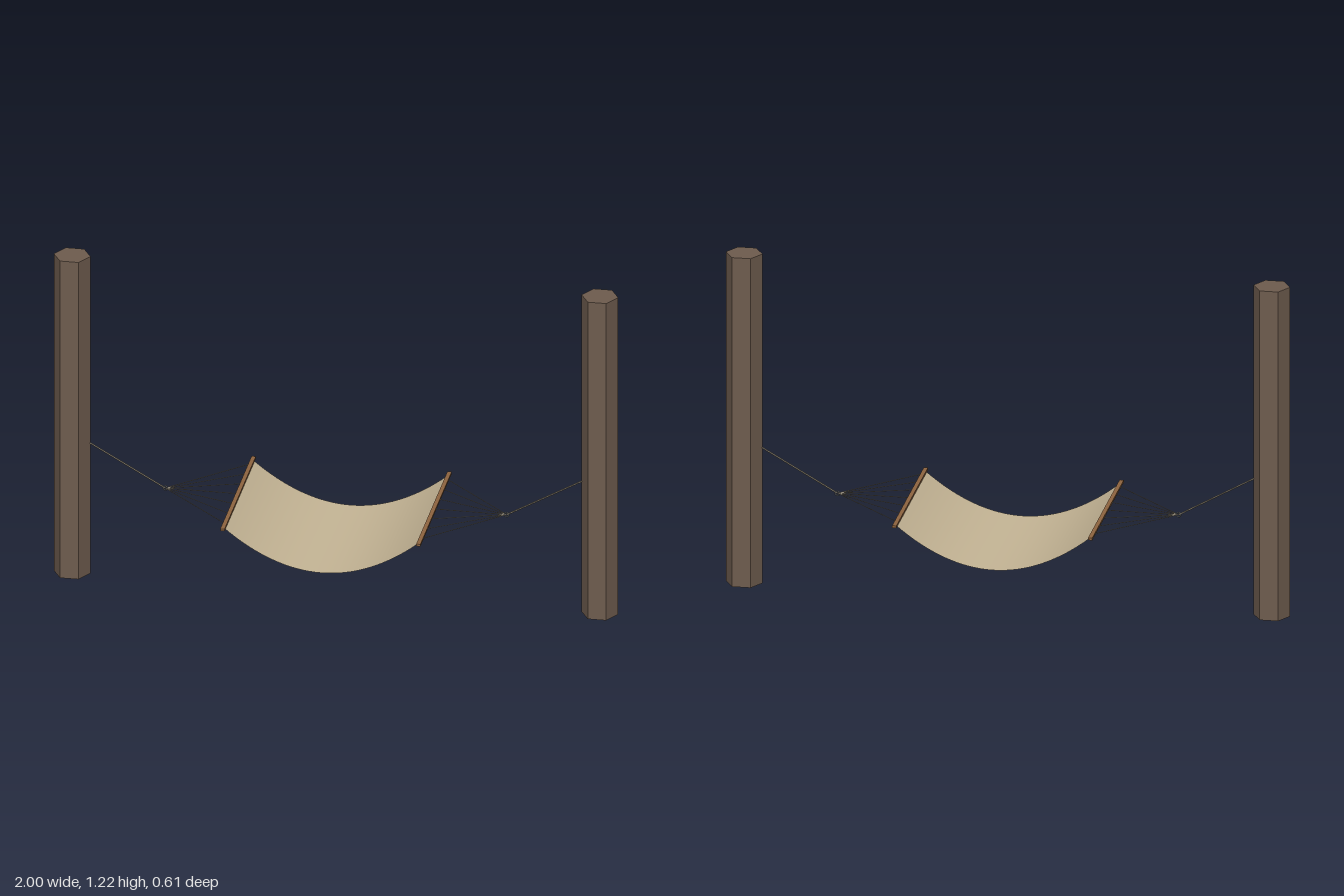
import * as THREE from 'three';

const mat = (name, color, extra = {}) =>
  Object.assign(new THREE.MeshStandardMaterial({ color, ...extra }), { name });

export function createModel() {
  const postWood = mat('postWood', 0x6e5c4e, { flatShading: true });
  const barWood = mat('barWood', 0x8f6540);
  const canvas = mat('canvas', 0xc6b696, { side: THREE.DoubleSide });
  const rope = mat('rope', 0x8c8474);
  const metal = mat('metal', 0x70757a);

  const model = new THREE.Group();
  model.name = 'hammock';

  const add = (parent, name, geometry, material, x = 0, y = 0, z = 0) => {
    const mesh = new THREE.Mesh(geometry, material);
    mesh.name = name;
    mesh.position.set(x, y, z);
    parent.add(mesh);
    return mesh;
  };

  // Thin straight cord between two points
  const addCord = (parent, name, a, b, radius) => {
    const dir = b.clone().sub(a);
    const mesh = add(parent, name, new THREE.CylinderGeometry(radius, radius, dir.length(), 6), rope);
    mesh.position.copy(a).add(b).multiplyScalar(0.5);
    mesh.quaternion.setFromUnitVectors(new THREE.Vector3(0, 1, 0), dir.normalize());
  };

  const barX = 0.347, barY = 0.351, ringX = 0.605, sag = 0.145;

  // Sagging cloth bed
  const bed = new THREE.PlaneGeometry(2 * barX, 0.566, 32, 1).rotateX(-Math.PI / 2);
  const p = bed.attributes.position;
  for (let i = 0; i < p.count; i++) {
    p.setY(i, barY - sag * (1 - (p.getX(i) / barX) ** 2));
  }
  bed.computeVertexNormals();
  add(model, 'clothBed', bed, canvas);

  for (const [side, s] of [['left', 1], ['right', -1]]) {
    const end = new THREE.Group();
    end.name = `${side}End`;
    model.add(end);

    // Hexagonal post with a corner facing inwards
    add(end, 'post', new THREE.CylinderGeometry(0.065, 0.065, 1.22, 6).rotateY(Math.PI / 6),
      postWood, s * 0.935, 0.61, 0);

    // Spreader bar
    add(end, 'spreaderBar', new THREE.BoxGeometry(0.015, 0.008, 0.606), barWood, s * barX, barY, 0);

    // Ring gathering the cords
    add(end, 'ring', new THREE.TorusGeometry(0.008, 0.0025, 8, 16), metal, s * ringX, barY, 0);

    // Fan of cords from the ring to the bar
    const ring = new THREE.Vector3(s * ringX, barY, 0);
    for (let i = -3; i <= 3; i++) {
      addCord(end, 'fanCord', ring, new THREE.Vector3(s * barX, barY, i * 0.0833), 0.0013);
    }

    // Rope up to the post
    addCord(end, 'postRope', ring, new THREE.Vector3(s * 0.88, 0.507, 0), 0.003);
  }
  return model;
}
